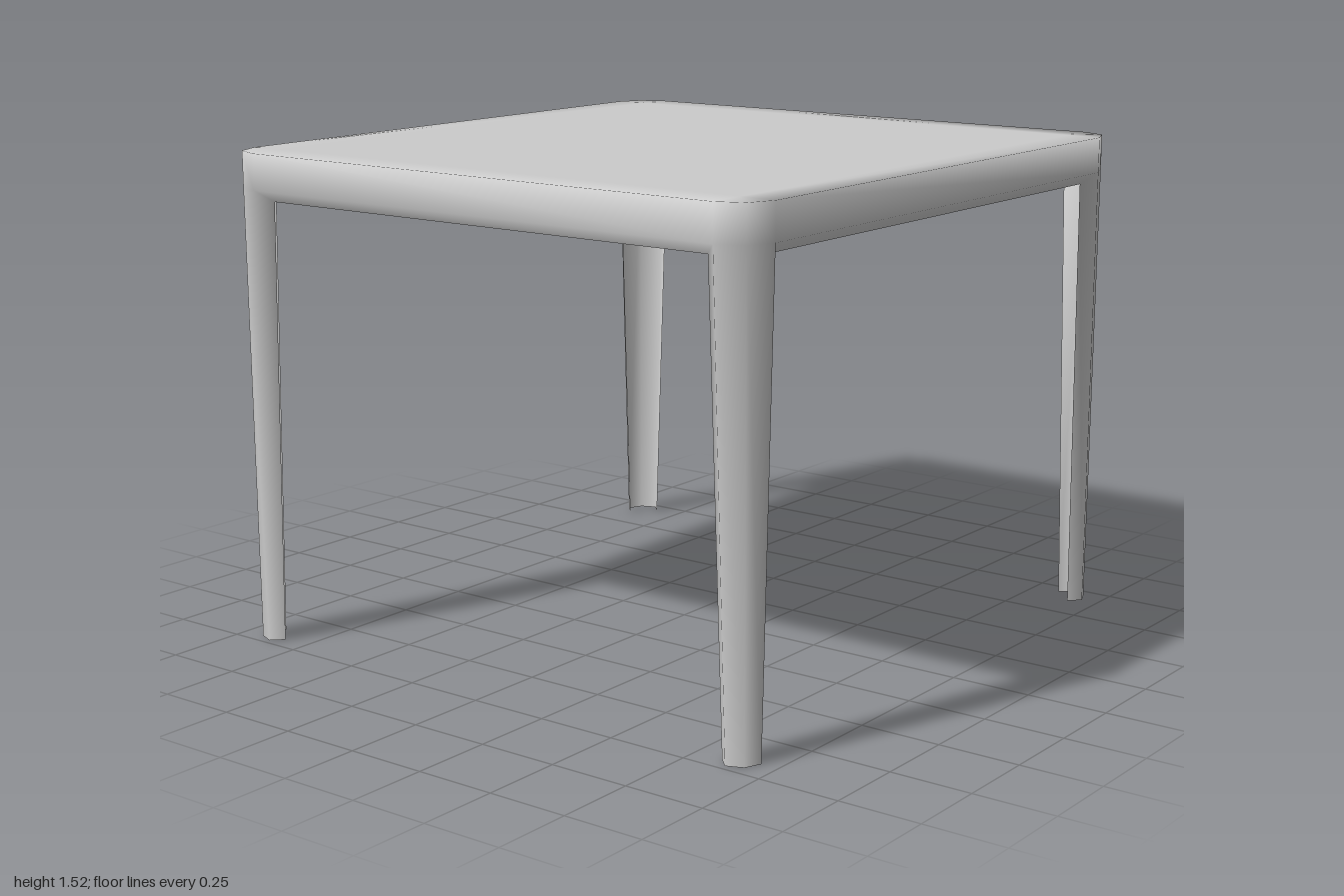
import * as THREE from 'three';
import { mergeGeometries } from 'three/addons/utils/BufferGeometryUtils.js';

const TOP = 1.52, RIM = 1.41, LIP = 0.035;
// Corner cross-sections: half sizes, corner radius, turned-in lip
const UPPER = { x: 1, z: 0.96, r: 0.115, lip: 0.045, tuck: 0.04 };
const LOWER = { x: 0.98, z: 0.945, r: 0.07, lip: 0.035, tuck: 0.035 };
// Corners in order round the table, so that every strip faces outwards
const CORNERS = [[1, 1, 'FrontLeft'], [1, -1, 'BackLeft'], [-1, -1, 'BackRight'], [-1, 1, 'FrontRight']];

// Plan of one corner: lip, three arc points, lip
function corner(s, sx, sz, y, lipY) {
  const cx = s.x - s.r, cz = s.z - s.r, d = s.r * Math.SQRT1_2;
  const points = [
    [cx - s.lip, lipY, s.z - s.tuck],
    [cx, y, s.z], [cx + d, y, cz + d], [s.x, y, cz],
    [s.x - s.tuck, lipY, cz - s.lip],
  ].map(([px, py, pz]) => [px * sx, py, pz * sz]);
  return sx * sz < 0 ? points.reverse() : points;
}

// Surface through rows of points
function grid(rows) {
  const n = rows[0].length, index = [];
  for (let j = 0; j < rows.length - 1; j++) {
    for (let i = 0; i < n - 1; i++) {
      const a = j * n + i, b = a + 1, c = a + n, d = c + 1;
      index.push(a, c, d, a, d, b);
    }
  }
  const g = new THREE.BufferGeometry();
  g.setAttribute('position', new THREE.Float32BufferAttribute(rows.flat(2), 3));
  g.setIndex(index);
  return g;
}

// Share normals wherever parts touch, so the moulded shell shades as one
function smoothTogether(geometries) {
  const sums = new Map(), v = new THREE.Vector3();
  const key = (p, i) => [p.getX(i), p.getY(i), p.getZ(i)].map((c) => Math.round(c * 1e4)).join();
  const tri = [new THREE.Vector3(), new THREE.Vector3(), new THREE.Vector3()];
  for (const g of geometries) {
    const p = g.attributes.position;
    for (let i = 0; i < g.index.count; i += 3) {
      const ids = [0, 1, 2].map((k) => g.index.getX(i + k));
      ids.forEach((id, k) => tri[k].fromBufferAttribute(p, id));
      const n = tri[1].clone().sub(tri[0]).cross(v.copy(tri[2]).sub(tri[0]));
      for (const id of ids) {
        const k = key(p, id);
        if (!sums.has(k)) sums.set(k, new THREE.Vector3());
        sums.get(k).add(n);
      }
    }
  }
  for (const g of geometries) {
    const p = g.attributes.position, normals = [];
    for (let i = 0; i < p.count; i++) normals.push(...v.copy(sums.get(key(p, i))).normalize().toArray());
    g.setAttribute('normal', new THREE.Float32BufferAttribute(normals, 3));
  }
}

export function createModel() {
  const group = new THREE.Group();
  const material = new THREE.MeshStandardMaterial({ color: 0xcccccc, side: THREE.DoubleSide });
  const cx = UPPER.x - UPPER.r, cz = UPPER.z - UPPER.r;
  const centre = (sx, sz) => [cx * sx, TOP, cz * sz];

  // Tabletop: flat panel, border, side wall
  const loop = (f) => {
    const points = CORNERS.flatMap(([sx, sz]) => f(sx, sz));
    return [...points, points[0]];
  };
  const arcAt = (y) => loop((sx, sz) => corner(UPPER, sx, sz, y, y).slice(1, 4));
  const inner = loop((sx, sz) => [0, 1, 2].map(() => centre(sx, sz)));
  const topParts = [
    grid([[centre(-1, -1), centre(1, -1)], [centre(-1, 1), centre(1, 1)]]),
    grid([inner, arcAt(TOP), arcAt(RIM)]),
  ];

  // Lip turned in under each edge, between the legs
  const rimCorners = CORNERS.map(([sx, sz]) => corner(UPPER, sx, sz, RIM, RIM - LIP));
  rimCorners.forEach((a, i) => {
    const b = rimCorners[(i + 1) % 4];
    topParts.push(grid([[a[3], b[1]], [a[4], b[0]]]));
  });
  const parts = [['tabletop', mergeGeometries(topParts)]];

  // Legs: open tapering corner shells with lipped edges
  CORNERS.forEach(([sx, sz, place], i) => {
    parts.push(['leg' + place, grid([rimCorners[i], corner(LOWER, sx, sz, 0, 0)])]);
  });

  smoothTogether(parts.map(([, g]) => g));
  for (const [name, geometry] of parts) {
    const mesh = new THREE.Mesh(geometry, material);
    mesh.name = name;
    group.add(mesh);
  }
  return group;
}
